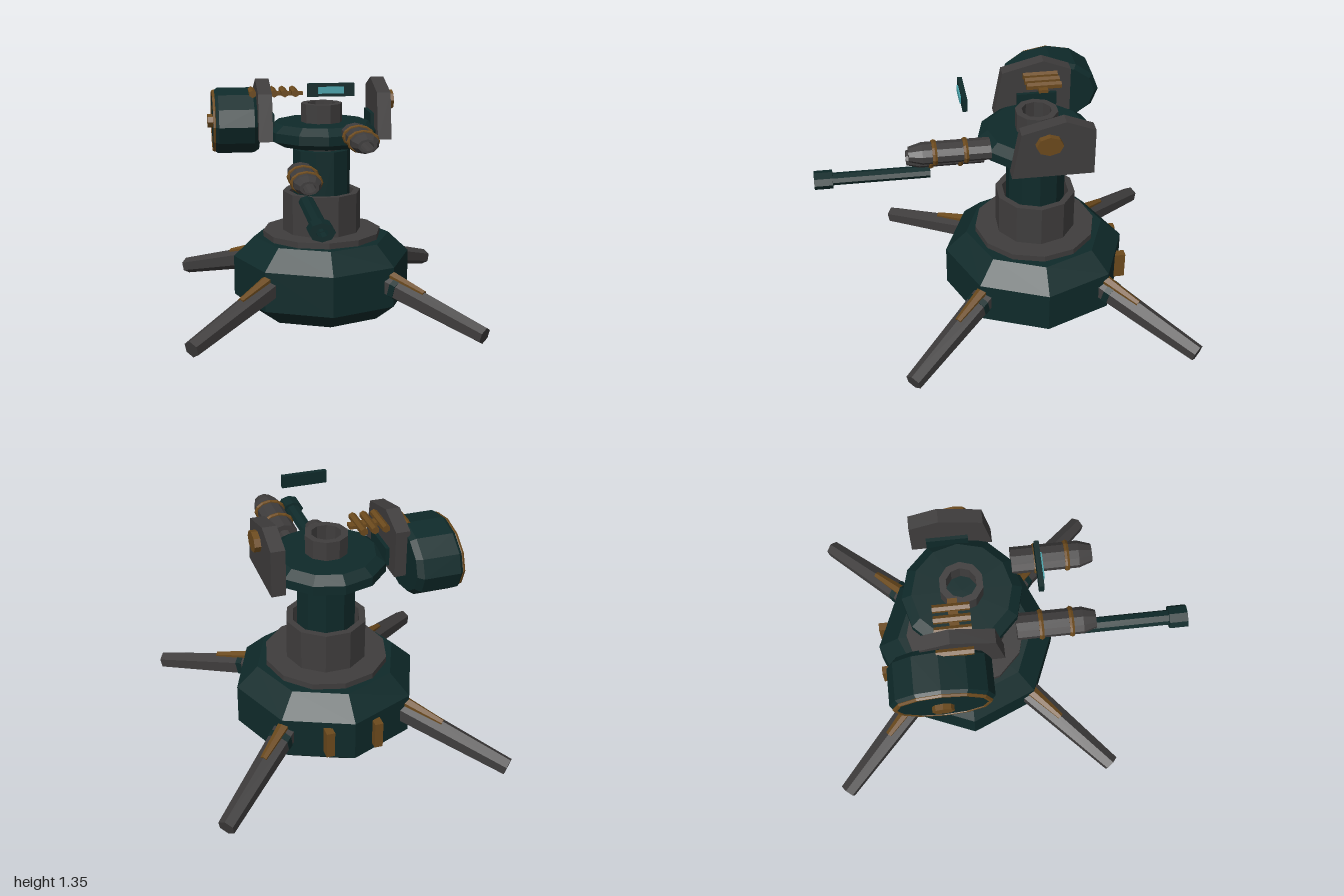
import * as THREE from 'three';

const paint = (name, color) => {
  const m = new THREE.MeshStandardMaterial({ color, flatShading: true });
  m.name = name;
  return m;
};

export function createModel() {
  const model = new THREE.Group();
  model.name = 'sentryTurret';
  const green = paint('darkGreen', 0x0f2a2a);
  const grey = paint('gunGrey', 0x3f3d3d);
  const gold = paint('bronze', 0x6c4a1d);
  const cyan = paint('lensCyan', 0x4aa3ab);

  const add = (parent, name, geo, mat, x = 0, y = 0, z = 0) => {
    const mesh = new THREE.Mesh(geo, mat);
    mesh.name = name;
    mesh.position.set(x, y, z);
    parent.add(mesh);
    return mesh;
  };
  const lathe = (pts, n) => new THREE.LatheGeometry(pts.map(p => new THREE.Vector2(...p)), n);
  // Closed ring section: hollow tube along y
  const pipe = (inner, outer, y0, y1, n) =>
    lathe([[inner, y0], [outer, y0], [outer, y1], [inner, y1], [inner, y0]], n);
  const box = (w, h, d) => new THREE.BoxGeometry(w, h, d);
  // Tapered round bar between two points
  const strut = (parent, name, a, b, ra, rb, n, mat) => {
    const A = new THREE.Vector3(...a), B = new THREE.Vector3(...b);
    const dir = B.clone().sub(A);
    const mesh = add(parent, name, new THREE.CylinderGeometry(rb, ra, dir.length(), n), mat);
    mesh.position.copy(A).add(B).multiplyScalar(0.5);
    mesh.quaternion.setFromUnitVectors(new THREE.Vector3(0, 1, 0), dir.normalize());
    return mesh;
  };

  // Base and central column
  const body = new THREE.Group();
  body.name = 'body';
  body.position.z = -0.2;
  model.add(body);
  add(body, 'hull', lathe([[0, 0], [0.385, 0], [0.503, 0.094], [0.503, 0.318], [0.386, 0.43], [0, 0.43]], 8), green);
  add(body, 'basePlate', new THREE.CylinderGeometry(0.335, 0.335, 0.04, 12), grey, 0, 0.443);
  add(body, 'collar', pipe(0.185, 0.221, 0.46, 0.69, 10), grey).rotation.y = Math.PI / 2;
  add(body, 'column', new THREE.CylinderGeometry(0.161, 0.161, 0.47, 10), green, 0, 0.695).rotation.y = Math.PI / 2;
  add(body, 'neck', new THREE.CylinderGeometry(0.116, 0.116, 0.04, 10), grey, 0, 0.945).rotation.y = Math.PI / 2;
  add(body, 'turretRing', lathe([[0, 0.96], [0.25, 0.96], [0.315, 0.995], [0.315, 1.045], [0.262, 1.083], [0, 1.083]], 12), green);
  add(body, 'topTube', pipe(0.08, 0.116, 1.07, 1.187, 10), grey).rotation.y = Math.PI / 2;

  // Four splayed legs with braces
  for (let i = 0; i < 4; i++) {
    const leg = new THREE.Group();
    leg.name = 'leg' + (i + 1);
    leg.rotation.y = Math.PI / 4 + i * Math.PI / 2;
    body.add(leg);
    strut(leg, 'legBeam', [0, 0.225, 0.44], [0, 0.05, 1.08], 0.068, 0.048, 6, grey);
    strut(leg, 'legBrace', [0, 0.275, 0.45], [0, 0.205, 0.7], 0.036, 0.02, 6, gold);
    // Dark band on the legs of the left side
    if (i < 2) strut(leg, 'legBand', [0, 0.207, 0.505], [0, 0.198, 0.54], 0.069, 0.068, 6, green);
  }

  // Rear vents
  for (const s of [-1, 1]) {
    add(model, 'rearVent', box(0.045, 0.15, 0.06), gold, s * 0.133, 0.21, -0.67);
  }

  // Cheek plates either side of the turret
  const cheek = new THREE.Shape([[0.013, 1.003], [0.44, 1.003], [0.44, 1.257], [0.286, 1.316], [0.059, 1.257]]
    .map(p => new THREE.Vector2(...p)));
  const cheekGeo = new THREE.ExtrudeGeometry(cheek, { depth: 0.076, bevelEnabled: false });
  for (const s of [-1, 1]) {
    add(model, 'cheekPlate', cheekGeo, grey, s > 0 ? 0.288 : -0.364).rotation.y = Math.PI / 2;
    add(model, 'cheekBracket', box(0.03, 0.1, 0.22), green, s * 0.283, 1.08, -0.25);
  }
  const bolt = add(model, 'cheekBolt', new THREE.CylinderGeometry(0.07, 0.07, 0.04, 8), gold, 0.378, 1.2, -0.2);
  bolt.rotation.z = Math.PI / 2;
  bolt.scale.x = 0.76;

  // Ammunition drum on the right side
  const drum = new THREE.Group();
  drum.name = 'ammoDrum';
  drum.position.set(-0.48, 1.073, -0.352);
  drum.rotation.z = Math.PI / 2;
  drum.scale.x = 0.7;
  model.add(drum);
  add(drum, 'drumBody', lathe([[0, -0.13], [0.24, -0.13], [0.267, -0.1], [0.267, 0.095], [0.242, 0.122], [0, 0.122]], 12), green);
  add(drum, 'drumRim', new THREE.TorusGeometry(0.24, 0.013, 6, 12), gold, 0, 0.115).rotation.x = Math.PI / 2;
  add(drum, 'drumHub', new THREE.CylinderGeometry(0.056, 0.056, 0.04, 8), gold, 0, 0.132);

  // Ammunition belt
  for (let i = 0; i < 5; i++) {
    const x = -0.385 + i * 0.059;
    strut(model, 'beltRound', [x, 1.244, -0.36], [x, 1.244, -0.17], 0.021, 0.021, 6, gold);
  }
  add(model, 'beltLink', box(0.29, 0.018, 0.05), gold, -0.245, 1.235, -0.255);

  // Two ringed gun barrels
  for (const [x, y] of [[0.145, 1.062], [-0.15, 0.854]]) {
    const gun = new THREE.Group();
    gun.name = 'gun';
    gun.position.set(x, y, 0);
    gun.scale.y = 0.71;
    model.add(gun);
    add(gun, 'gunBarrel', lathe([[0.035, 0.07], [0.074, 0.07], [0.074, 0.425], [0.05, 0.495], [0.035, 0.495], [0.035, 0.07]], 10), grey)
      .rotation.x = Math.PI / 2;
    for (const z of [0.2, 0.362]) {
      add(gun, 'gunRing', new THREE.TorusGeometry(0.074, 0.014, 6, 12), gold, 0, 0, z);
    }
  }

  // Long slim barrel with a muzzle sleeve
  const lance = new THREE.Group();
  lance.name = 'longGun';
  lance.position.set(-0.15, 0.755, 0);
  lance.rotation.x = Math.PI / 2;
  lance.scale.z = 0.72;
  model.add(lance);
  add(lance, 'longBarrel', pipe(0.024, 0.043, 0.365, 0.92, 8), green);
  add(lance, 'muzzleSleeve', pipe(0.03, 0.064, 0.9, 1.0, 8), green);

  // Floating sight
  add(model, 'sightFrame', box(0.248, 0.068, 0.026), green, -0.002, 1.311, 0.193);
  add(model, 'sightLens', box(0.134, 0.035, 0.009), cyan, -0.003, 1.311, 0.21);

  return model;
}
